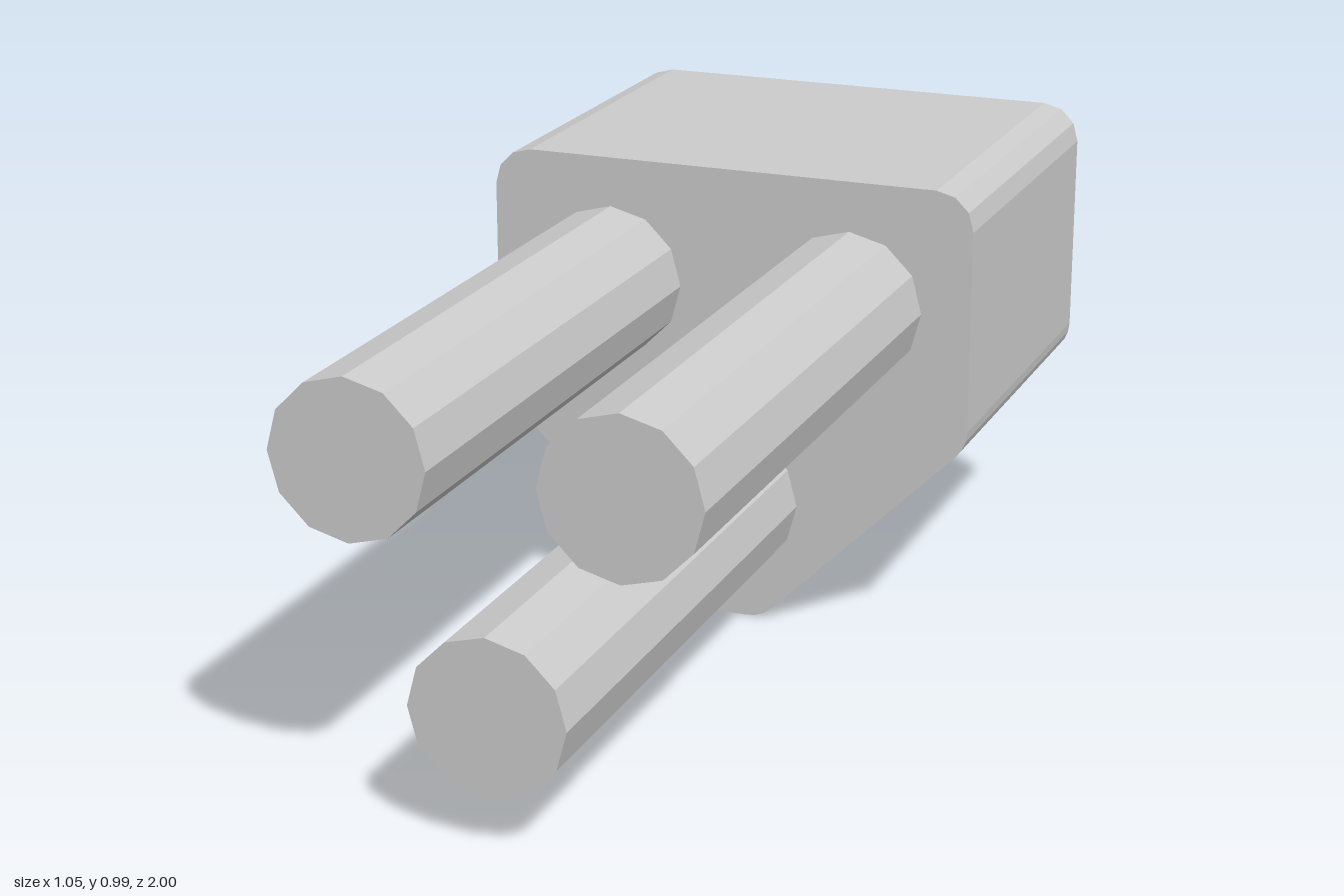
import * as THREE from 'three';

const material = new THREE.MeshStandardMaterial({ color: 0xcccccc, flatShading: true });

// Points along a rounded corner, angles in degrees
function corner(cx, cy, from, to, steps = 3, radius = 0.08) {
  const points = [];
  for (let i = 0; i <= steps; i++) {
    const a = THREE.MathUtils.degToRad(from + (to - from) * i / steps);
    points.push(new THREE.Vector2(cx + radius * Math.cos(a), cy + radius * Math.sin(a)));
  }
  return points;
}

// Five-sided plug body with rounded corners
function createBody() {
  const half = [
    ...corner(0.047, 0.08, -90, -45),
    ...corner(0.447, 0.48, -45, 0),
    ...corner(0.447, 0.905, 0, 90),
  ];
  const mirrored = half.map(p => new THREE.Vector2(-p.x, p.y)).reverse();
  const geometry = new THREE.ExtrudeGeometry(new THREE.Shape([...half, ...mirrored]), {
    depth: 0.8,
    bevelEnabled: false,
  });
  geometry.translate(0, 0, -1);
  const body = new THREE.Mesh(geometry, material);
  body.name = 'plugBody';
  return body;
}

// Twelve-sided pin reaching forward from the body
function createPin(name, x, y) {
  const geometry = new THREE.CylinderGeometry(0.158, 0.158, 1.2, 12);
  geometry.rotateX(Math.PI / 2);
  const pin = new THREE.Mesh(geometry, material);
  pin.name = name;
  pin.position.set(x, y, 0.4);
  return pin;
}

export function createModel() {
  const model = new THREE.Group();
  model.name = 'threePinPlug';
  model.add(
    createBody(),
    createPin('leftPin', 0.264, 0.722),
    createPin('rightPin', -0.264, 0.722),
    createPin('lowerPin', 0, 0.265),
  );
  return model;
}
